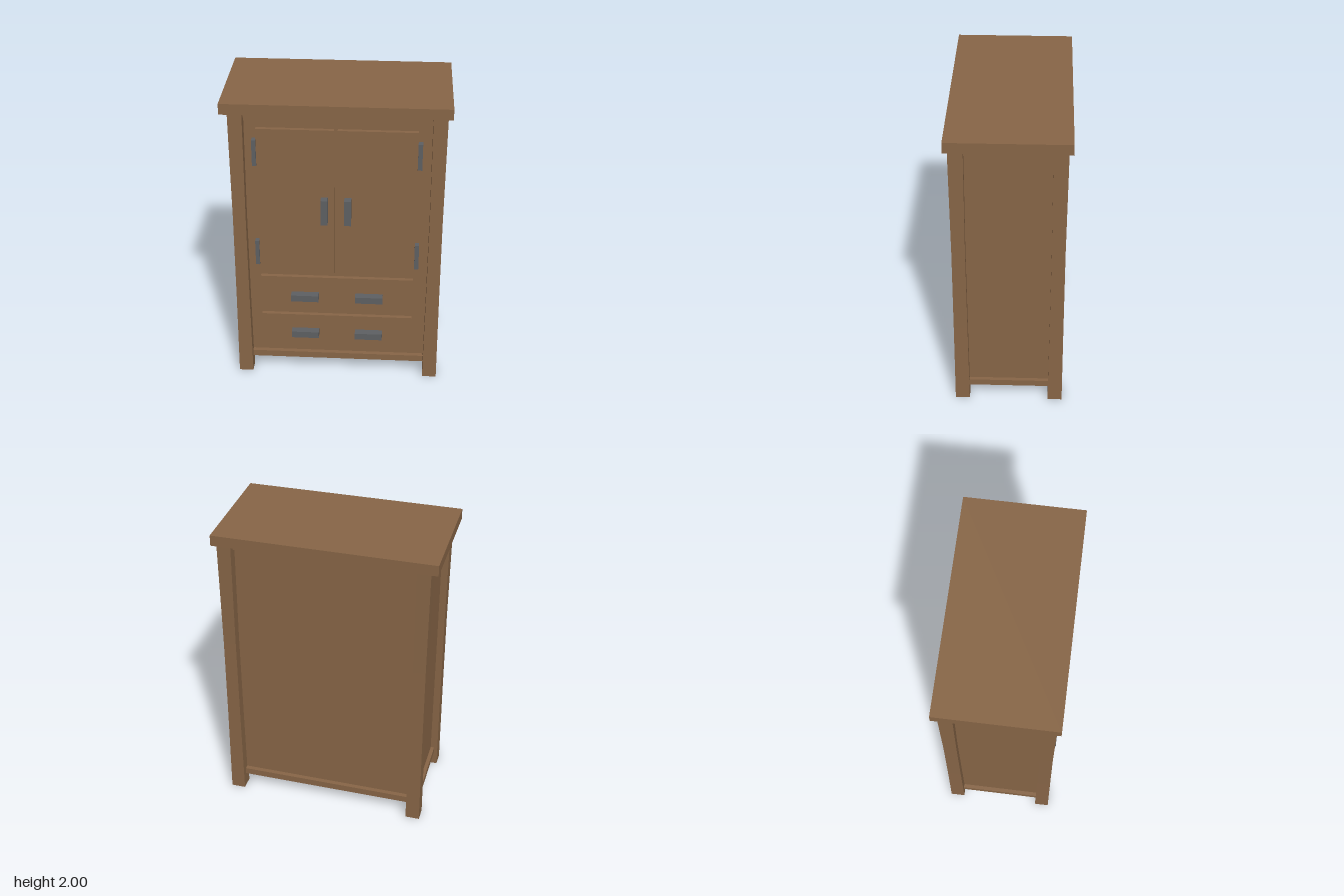
import * as THREE from 'three';

const wood = new THREE.MeshStandardMaterial({ color: 0x886647, side: THREE.DoubleSide });
wood.name = 'brown wood';
const metal = new THREE.MeshStandardMaterial({ color: 0x5e6063 });
metal.name = 'grey metal';

// Open tube lofted through rectangles given as [y, half width, half depth]
function loft(rings) {
  const corners = [[-1, 1], [1, 1], [1, -1], [-1, -1]];
  const point = ([y, w, d], i) => [corners[i % 4][0] * w, y, corners[i % 4][1] * d];
  const pos = [];
  for (let r = 0; r < rings.length - 1; r++) {
    for (let i = 0; i < 4; i++) {
      const a = point(rings[r], i), b = point(rings[r], i + 1);
      const c = point(rings[r + 1], i + 1), d = point(rings[r + 1], i);
      pos.push(...a, ...b, ...c, ...a, ...c, ...d);
    }
  }
  const geo = new THREE.BufferGeometry();
  geo.setAttribute('position', new THREE.Float32BufferAttribute(pos, 3));
  geo.computeVertexNormals();
  return geo;
}

export function createModel() {
  const group = new THREE.Group();
  group.name = 'wardrobe';

  const add = (name, geo, mat, x = 0, y = 0, z = 0) => {
    const mesh = new THREE.Mesh(geo, mat);
    mesh.name = name;
    mesh.position.set(x, y, z);
    group.add(mesh);
  };
  // Box given by its limits on each axis
  const box = (name, mat, [x0, x1], [y0, y1], [z0, z1]) =>
    add(name, new THREE.BoxGeometry(x1 - x0, y1 - y0, z1 - z0), mat,
      (x0 + x1) / 2, (y0 + y1) / 2, (z0 + z1) / 2);

  const cx = 0.009; // the carcass sits slightly off the top's centre

  // Overhanging top
  box('top', wood, [-0.71, 0.71], [1.93, 2], [-0.38, 0.38]);

  // Carcass, open below, with raised rails round the bottom and top
  add('carcass', loft([
    [0.095, 0.65, 0.315], [0.14, 0.65, 0.315], [0.14, 0.625, 0.285],
    [1.885, 0.625, 0.285], [1.885, 0.65, 0.315], [1.93, 0.65, 0.315],
  ]), wood, cx);

  // Slightly waisted corner posts, open at the foot
  const postGeo = loft([
    [0, 0.047, 0.047], [0.6, 0.043, 0.044], [1.2, 0.041, 0.042], [1.93, 0.045, 0.046],
  ]);
  for (const sx of [-1, 1]) {
    for (const sz of [-1, 1]) {
      const name = (sz > 0 ? 'front' : 'back') + (sx > 0 ? 'Left' : 'Right') + 'Post';
      add(name, postGeo, wood, cx + sx * 0.627, 0, sz * 0.308);
    }
  }

  // Doors with upright handles and hinges
  const face = [0.285, 0.312];
  box('rightDoor', wood, [-0.5, -0.014], [0.78, 1.81], face);
  box('leftDoor', wood, [0.009, 0.507], [0.78, 1.81], face);
  box('rightDoorHandle', metal, [-0.097, -0.053], [1.17, 1.345], [0.31, 0.363]);
  box('leftDoorHandle', metal, [0.052, 0.096], [1.17, 1.345], [0.31, 0.363]);
  for (const y of [[0.84, 1.017], [1.56, 1.737]]) {
    box('rightHinge', metal, [-0.526, -0.5], y, [0.285, 0.325]);
    box('leftHinge', metal, [0.507, 0.535], y, [0.285, 0.325]);
  }

  // Drawers with two handles each
  for (const [y0, y1, h] of [[0.175, 0.445, 0.292], [0.477, 0.743, 0.582]]) {
    box('drawer', wood, [-0.5, 0.503], [y0, y1], face);
    for (const x of [-0.298, 0.126]) {
      box('drawerHandle', metal, [x, x + 0.182], [h, h + 0.046], [0.31, 0.363]);
    }
  }

  return group;
}
